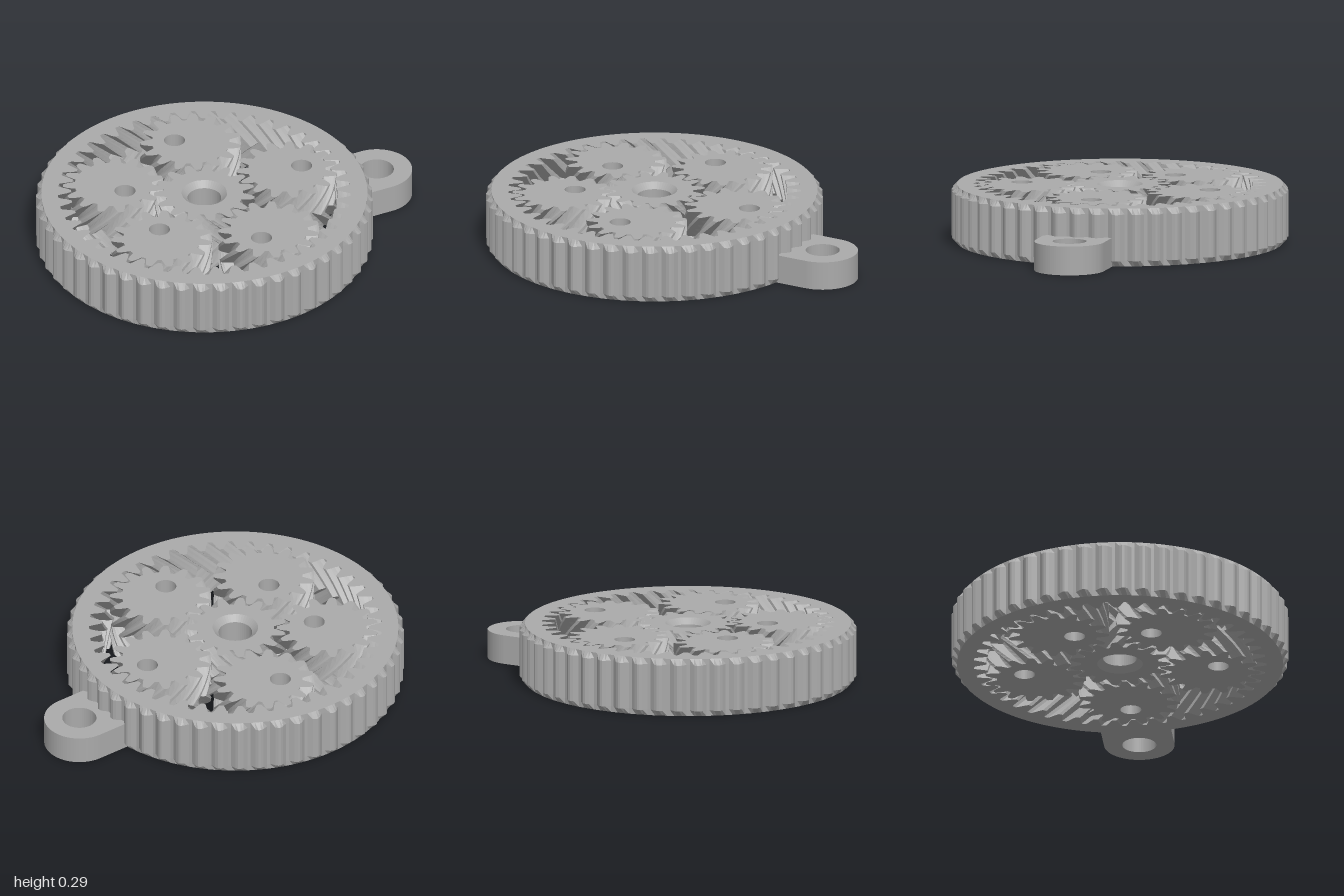
import * as THREE from 'three';

const H = 0.295, HALF = H / 2, STEPS = 10;
const CX = -0.15;              // axis of the gear set
const PITCH = 0.2325, RING_PITCH = PITCH * 3, TEETH = 15;

// Closed outline repeating a tooth profile of [fraction of pitch, radius]
function toothed(count, profile, phase = 0) {
  const pts = [];
  for (let i = 0; i < count; i++) {
    for (const [f, r] of profile) {
      const a = phase + ((i + f) / count) * Math.PI * 2;
      pts.push(new THREE.Vector2(Math.cos(a) * r, Math.sin(a) * r));
    }
  }
  return pts;
}

function circleHole(x, y, r) {
  return new THREE.Path().absarc(x, y, r, 0, Math.PI * 2, true);
}

// Extrude upward, then move each vertex by rule(radius, distance from nearest end) -> [radius, turn]
function extrudeUp(shape, height, steps, rule) {
  const geo = new THREE.ExtrudeGeometry(shape, { depth: height, steps, bevelEnabled: false, curveSegments: 24 });
  if (rule) {
    const p = geo.attributes.position;
    for (let i = 0; i < p.count; i++) {
      const x = p.getX(i), y = p.getY(i), z = p.getZ(i);
      const [r, turn] = rule(Math.hypot(x, y), Math.min(z, height - z));
      const a = Math.atan2(y, x) + turn;
      p.setXY(i, Math.cos(a) * r, Math.sin(a) * r);
    }
  }
  geo.rotateX(-Math.PI / 2);
  geo.computeVertexNormals();
  return geo;
}

const GEAR = [[-0.37, 0.196], [-0.24, 0.228], [-0.18, 0.243], [-0.1, 0.255],
  [0.1, 0.255], [0.18, 0.243], [0.24, 0.228], [0.37, 0.196]];
const RING_GAP = [[-0.39, 0.673], [-0.27, 0.697], [-0.2, 0.718], [-0.11, 0.738],
  [0.11, 0.738], [0.2, 0.718], [0.27, 0.697], [0.39, 0.673]];
const KNURL = [[-0.42, 0.823], [-0.2, 0.842], [-0.06, 0.85], [0.06, 0.85], [0.2, 0.842], [0.42, 0.823]];

export function createModel() {
  const group = new THREE.Group();
  const grey = new THREE.MeshStandardMaterial({ color: 0xaaaaaa });
  grey.name = 'grey plastic';
  const add = (name, geo, x, z) => {
    const mesh = new THREE.Mesh(geo, grey);
    mesh.name = name;
    mesh.position.set(x, 0, z);
    group.add(mesh);
  };

  // Outer ring: chamfered knurl outside, herringbone teeth inside
  const ring = new THREE.Shape(toothed(52, KNURL));
  ring.holes.push(new THREE.Path(toothed(TEETH * 3, RING_GAP, HALF / RING_PITCH).reverse()));
  add('ringGear', extrudeUp(ring, H, STEPS, (r, d) =>
    r < 0.78 ? [r, -d / RING_PITCH] : [Math.min(r, 0.822 + d), 0]), CX, 0);

  // Sun gear: opposite hand, countersunk bore
  const sun = new THREE.Shape(toothed(TEETH, GEAR, -HALF / PITCH));
  sun.holes.push(circleHole(0, 0, 0.085));
  add('sunGear', extrudeUp(sun, H, STEPS, (r, d) =>
    r < 0.13 ? [d < 0.001 ? 0.115 : r, 0] : [r, d / PITCH]), CX, 0);

  // Five planet gears, each rolled round with its off-centre hole
  for (let i = 0; i < 5; i++) {
    const a = (i * Math.PI * 2) / 5;
    const planet = new THREE.Shape(toothed(TEETH, GEAR, HALF / PITCH));
    planet.holes.push(circleHole(0.083 * Math.cos(2 * a), 0.083 * Math.sin(2 * a), 0.053));
    add('planetGear' + (i + 1), extrudeUp(planet, H, STEPS, (r, d) =>
      [r, r < 0.16 ? 0 : -d / PITCH]), CX + 2 * PITCH * Math.cos(a), -2 * PITCH * Math.sin(a));
  }

  // Key-ring lug
  const lug = new THREE.Shape();
  lug.moveTo(-0.2, -0.178);
  lug.lineTo(0, -0.178);
  lug.absarc(0, 0, 0.178, -Math.PI / 2, Math.PI / 2, false);
  lug.lineTo(-0.2, 0.178);
  lug.closePath();
  lug.holes.push(circleHole(0, 0, 0.086));
  add('lug', extrudeUp(lug, 0.147, 1), 0.822, 0);

  return group;
}
